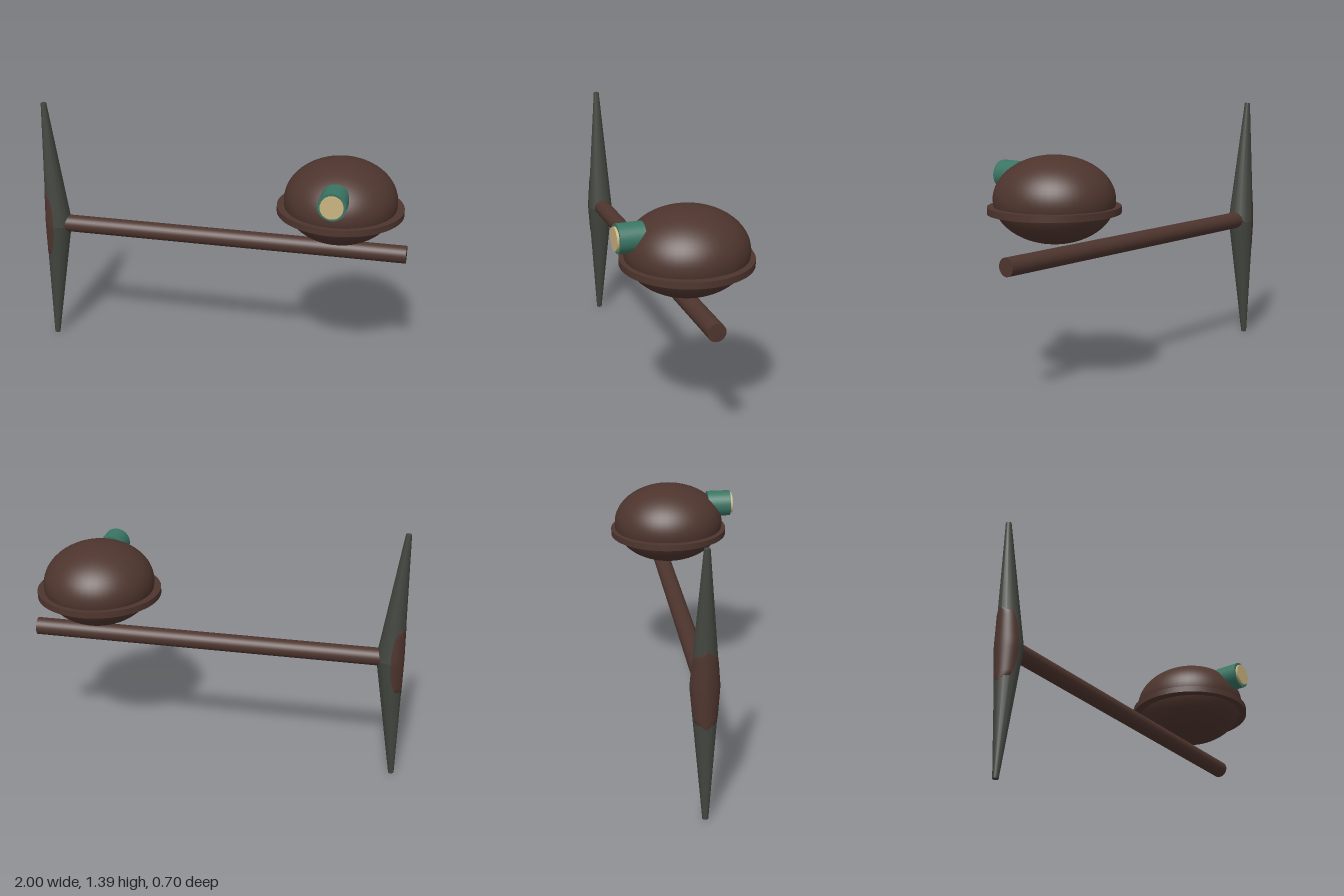
import * as THREE from 'three';

const mat = (name, color) => {
  const m = new THREE.MeshStandardMaterial({ color });
  m.name = name;
  return m;
};

export function createModel() {
  const group = new THREE.Group();
  const brown = mat('brown', 0x4e352e);
  const iron = mat('dark iron', 0x43463f);
  const green = mat('lamp green', 0x3a7563);
  const cream = mat('lens cream', 0xcbb381);

  const add = (name, geometry, material, x, y, z) => {
    const mesh = new THREE.Mesh(geometry, material);
    mesh.name = name;
    mesh.position.set(x, y, z);
    group.add(mesh);
    return mesh;
  };

  // Pick: round handle lying along x
  const axisZ = -0.038, midY = 0.692;
  add('handle', new THREE.CylinderGeometry(0.047, 0.047, 1.92, 32).rotateZ(Math.PI / 2), brown, 0.04, 0.696, axisZ);

  // Two tapered spikes leaning slightly away from the handle
  const baseX = -0.927, tipShift = -0.048, rise = 0.692, baseR = 0.0725, tipR = 0.015;
  const length = Math.hypot(tipShift, rise);
  for (const side of [1, -1]) {
    const geo = new THREE.CylinderGeometry(tipR, baseR, length, 12).translate(0, length / 2, 0);
    const spike = add(side > 0 ? 'upperSpike' : 'lowerSpike', geo, iron, baseX, midY, axisZ);
    spike.rotation.z = side > 0 ? Math.atan2(-tipShift, rise) : Math.PI - Math.atan2(-tipShift, rise);
  }

  // Oval brown inlay wrapped around the outer side of the spikes
  const inlay = new THREE.PlaneGeometry(2, 2, 16, 16);
  const p = inlay.attributes.position;
  for (let i = 0; i < p.count; i++) {
    const u = p.getX(i), v = p.getY(i);
    const t = Math.abs(v) * 0.2 / rise;
    const r = baseR + (tipR - baseR) * t + 0.001;
    const depth = 0.065 * Math.sqrt(Math.max(0, 1 - v * v));
    const angle = u * Math.acos(Math.max(0, 1 - depth / r));
    p.setXYZ(i, tipShift * t - r * Math.cos(angle), v * 0.2, r * Math.sin(angle));
  }
  inlay.computeVertexNormals();
  brown.side = THREE.DoubleSide;
  add('inlay', inlay, brown, baseX, midY, axisZ);

  // Helmet: rounded shell with a thin round brim
  const hx = 0.645, hz = -0.017;
  add('helmetShell', new THREE.SphereGeometry(1, 48, 32).scale(0.295, 0.219, 0.31), brown, hx, 0.981, hz);
  add('helmetBrim', new THREE.CylinderGeometry(0.331, 0.331, 0.034, 64), brown, hx, 0.932, hz);

  // Head lamp facing forward
  const drum = (r, depth) => new THREE.CylinderGeometry(r, r, depth, 32).rotateX(Math.PI / 2);
  add('lampHousing', drum(0.073, 0.13), green, hx, 1.08, 0.275);
  add('lampLens', drum(0.059, 0.03), cream, hx, 1.08, 0.337);

  return group;
}
